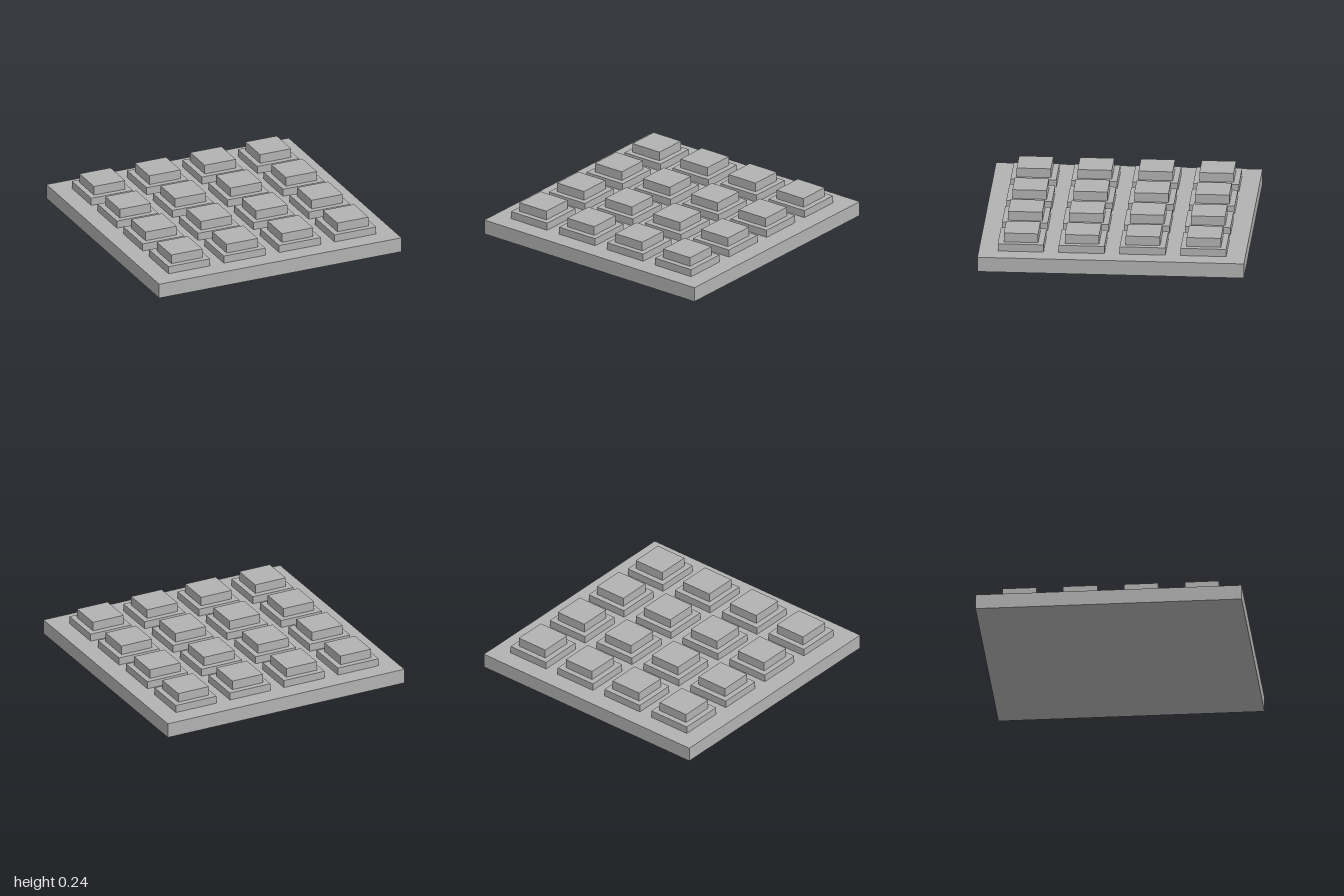
import * as THREE from 'three';

export function createModel() {
  const model = new THREE.Group();
  model.name = 'steppedBlockPlate';

  const grey = new THREE.MeshStandardMaterial({ color: 0xb2b2b2 });
  grey.name = 'grey';

  const BASE_HEIGHT = 0.114, STEP_HEIGHT = 0.058, CAP_HEIGHT = 0.071;
  const COUNT = 4, PITCH = 0.457;

  // Square slab with its underside at the given height
  function slab(name, width, height, bottom) {
    const mesh = new THREE.Mesh(new THREE.BoxGeometry(width, height, width), grey);
    mesh.name = name;
    mesh.position.y = bottom + height / 2;
    return mesh;
  }

  // Base plate
  model.add(slab('basePlate', 2, BASE_HEIGHT, 0));

  // Grid of two-tier blocks
  for (let row = 0; row < COUNT; row++) {
    for (let column = 0; column < COUNT; column++) {
      const block = new THREE.Group();
      block.name = `block_${row + 1}_${column + 1}`;
      block.add(
        slab('lowerStep', 0.343, STEP_HEIGHT, BASE_HEIGHT),
        slab('upperCap', 0.257, CAP_HEIGHT, BASE_HEIGHT + STEP_HEIGHT)
      );
      block.position.x = (column - (COUNT - 1) / 2) * PITCH;
      block.position.z = (row - (COUNT - 1) / 2) * PITCH;
      model.add(block);
    }
  }

  return model;
}
